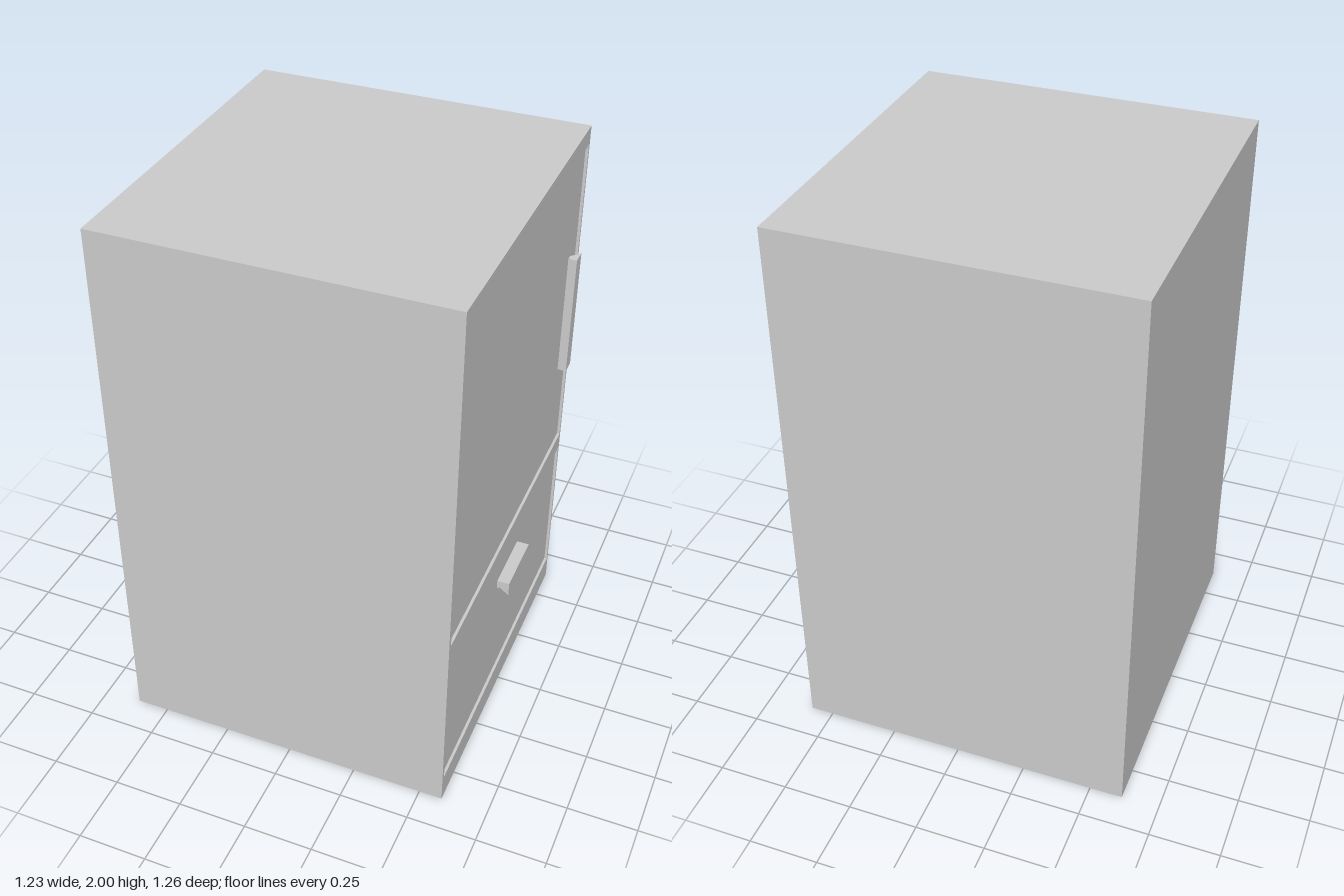
import * as THREE from 'three';

const BACK = -0.617, FACE = 0.583, RECESS = 0.01, HALF_Z = 0.628, H = 2;

function polygon(points, Type = THREE.Shape) {
  return new Type(points.map(([x, y]) => new THREE.Vector2(x, y)));
}

function rect(x0, y0, x1, y1, Type) {
  return polygon([[x0, y0], [x1, y0], [x1, y1], [x0, y1]], Type);
}

function extrude(shape, depth) {
  return new THREE.ExtrudeGeometry(shape, { depth, bevelEnabled: false });
}

export function createModel() {
  const group = new THREE.Group();
  const material = new THREE.MeshStandardMaterial({ color: 0xcccccc, flatShading: true });
  const add = (name, geometry) => {
    const mesh = new THREE.Mesh(geometry, material);
    mesh.name = name;
    group.add(mesh);
    return mesh;
  };

  // Cabinet body; its +x face forms the recessed door and drawer fronts
  const depth = FACE - RECESS - BACK;
  add('cabinet', new THREE.BoxGeometry(depth, H, HALF_Z * 2))
    .position.set(BACK + depth / 2, H / 2, 0);

  // Thin face frame around the door (above) and the drawer (below)
  const frame = rect(-HALF_Z, 0, HALF_Z, H);
  for (const [y0, y1] of [[0.73, 1.935], [0.097, 0.665]]) {
    frame.holes.push(rect(-0.612, y0, 0.618, y1, THREE.Path));
  }
  add('faceFrame', extrude(frame, RECESS).rotateY(Math.PI / 2))
    .position.x = FACE - RECESS;

  // Upright door handle with a slanted finger grip on its outer side
  const inner = FACE - RECESS;
  const upright = polygon([[inner, 0.525], [0.604, 0.525], [0.604, 0.58], [FACE, 0.557], [inner, 0.546]]);
  add('doorHandle', extrude(upright, 0.46).rotateX(-Math.PI / 2)).position.y = 1.085;

  // Horizontal drawer handle with a slanted underside
  const pull = polygon([[inner, 0.522], [FACE, 0.528], [0.617, 0.503], [0.617, 0.556], [inner, 0.556]]);
  add('drawerHandle', extrude(pull, 0.232)).position.z = -0.155;

  return group;
}
